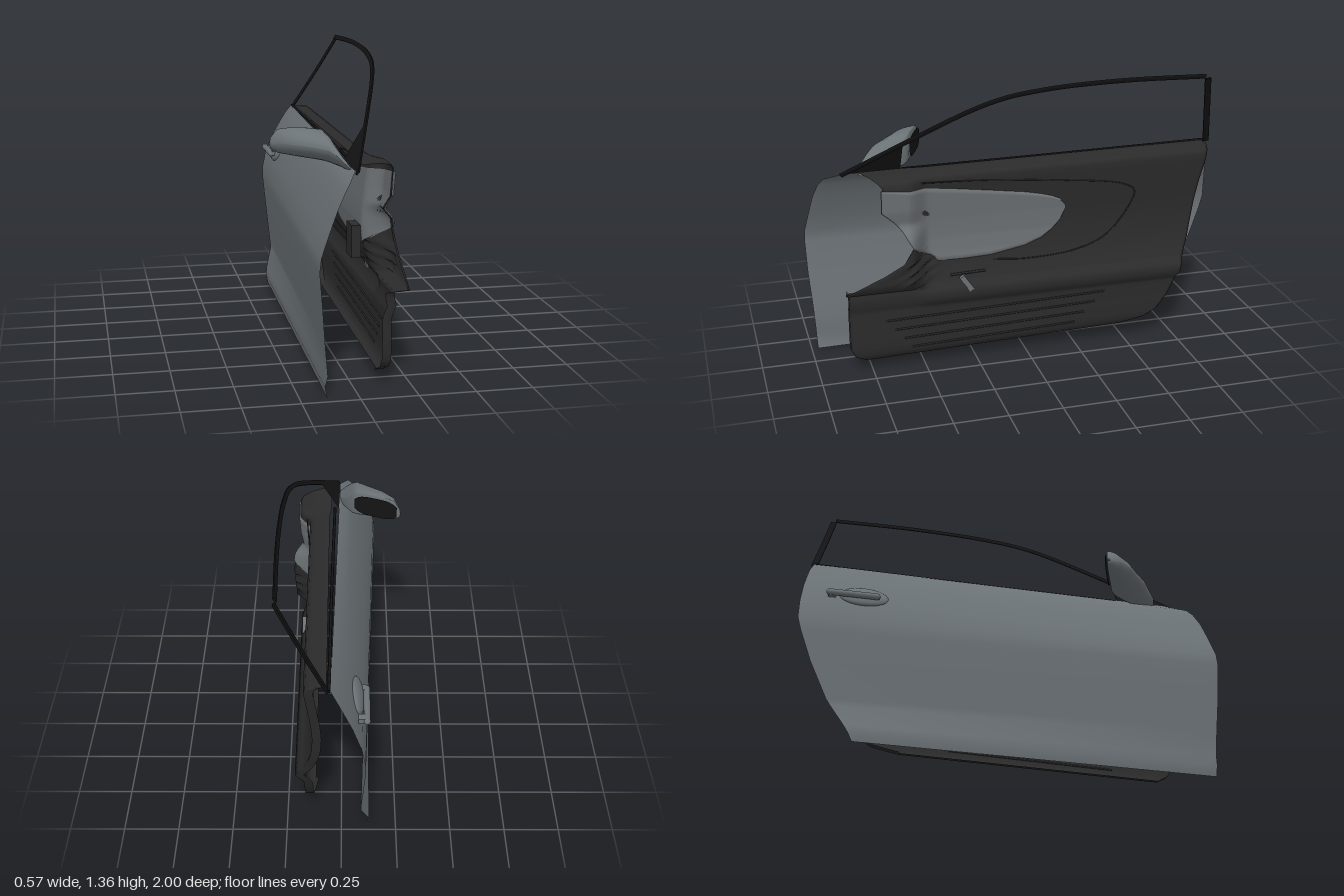
import * as THREE from 'three';

const V = (x, y, z) => new THREE.Vector3(x, y, z);
const lerp = THREE.MathUtils.lerp;
const mat = (color) => new THREE.MeshStandardMaterial({ color, side: THREE.DoubleSide });

// Surface from a grid of points: fn(row, column) -> Vector3
function sheet(fn, rows, cols) {
  const pos = [], idx = [];
  for (let i = 0; i < rows; i++)
    for (let j = 0; j < cols; j++) pos.push(...fn(i, j).toArray());
  for (let i = 0; i < rows - 1; i++)
    for (let j = 0; j < cols - 1; j++) {
      const a = i * cols + j, b = a + cols;
      idx.push(a, a + 1, b, b, a + 1, b + 1);
    }
  const g = new THREE.BufferGeometry();
  g.setAttribute('position', new THREE.Float32BufferAttribute(pos, 3));
  g.setIndex(idx);
  g.computeVertexNormals();
  return g;
}

const tube = (pts, r, segs = 40, sides = 6) =>
  new THREE.TubeGeometry(new THREE.CatmullRomCurve3(pts), segs, r, sides);

// Flat bar lying in the leaning plane of the window
const windowX = (y) => 0.03 + 0.6 * (y - 0.95);
const LEAN = V(-1, 0.6, 0).normalize();
function flatBar(pts, halfWidth, halfThick, segs) {
  const curve = new THREE.CatmullRomCurve3(pts);
  return sheet((i, j) => {
    const side = curve.getTangentAt(i / segs).cross(LEAN).normalize();
    const w = [1, -1, -1, 1, 1][j] * halfWidth, t = [1, 1, -1, -1, 1][j] * halfThick;
    return curve.getPointAt(i / segs).addScaledVector(side, w).addScaledVector(LEAN, t);
  }, segs + 1, 5);
}

// Outer skin rows: y, x at front, x at back, z of front edge, z of back edge
const SKIN = [
  [0.015, -0.135, -0.12, 0.97, -0.73],
  [0.06, -0.147, -0.126, 0.972, -0.75],
  [0.1, -0.136, -0.12, 0.975, -0.77],
  [0.2, -0.145, -0.087, 0.98, -0.83],
  [0.23, -0.148, -0.088, 0.982, -0.85],
  [0.4, -0.162, -0.096, 0.995, -0.93],
  [0.55, -0.175, -0.104, 1.0, -0.985],
  [0.61, -0.168, -0.103, 0.997, -1.0],
  [0.7, -0.134, -0.086, 0.98, -0.995],
  [0.8, -0.092, -0.047, 0.96, -0.98],
  [0.87, -0.056, -0.008, 0.938, -0.963],
  [0.91, -0.032, 0.018, 0.915, -0.95],
  [0.945, 0.01, 0.045, 0.82, -0.93],
];

// Inner trim rows: y, x, x in the front flare, z of front edge, z of back edge
const TRIM = [
  [0.05, 0.12, 0.12, 0.78, -0.48],
  [0.05, 0.145, 0.145, 0.78, -0.48],
  [0.08, 0.16, 0.16, 0.83, -0.6],
  [0.12, 0.165, 0.165, 0.85, -0.66],
  [0.2, 0.165, 0.165, 0.85, -0.715],
  [0.29, 0.168, 0.165, 0.85, -0.75],
  [0.31, 0.175, 0.168, 0.85, -0.755],
  [0.35, 0.207, 0.185, 0.85, -0.765],
  [0.385, 0.19, 0.178, 0.85, -0.78],
  [0.41, 0.17, 0.175, 0.855, -0.787],
  [0.42, 0.165, 0.238, 0.87, -0.79],
  [0.46, 0.15, 0.242, 0.78, -0.805],
  [0.5, 0.138, 0.245, 0.69, -0.82],
  [0.55, 0.13, 0.248, 0.6, -0.83],
  [0.62, 0.125, 0.248, 0.555, -0.843],
  [0.67, 0.127, 0.23, 0.58, -0.85],
  [0.72, 0.131, 0.185, 0.615, -0.858],
  [0.79, 0.14, 0.2, 0.69, -0.87],
  [0.88, 0.152, 0.207, 0.68, -0.89],
  [0.915, 0.158, 0.21, 0.685, -0.895],
  [0.935, 0.15, 0.195, 0.7, -0.9],
  [0.95, 0.125, 0.14, 0.73, -0.905],
  [0.953, 0.06, 0.05, 0.77, -0.905],
];
const flare = (r, z) => lerp(r[1], r[2], THREE.MathUtils.smoothstep(z, 0.46, 0.57));
const trimTilt = (y, z) => (0.02 - 0.03 * z) * Math.max(0, 1 - y / 0.3)
  - 0.009 * z * Math.max(0, (y - 0.85) / 0.1);

// Point on the trim surface
function onTrim(z, y, off = 0.002) {
  const row = y - trimTilt(y, z);
  let i = 1;
  while (i < TRIM.length - 2 && TRIM[i + 1][0] < row) i++;
  const a = TRIM[i], b = TRIM[i + 1];
  const t = THREE.MathUtils.clamp((row - a[0]) / (b[0] - a[0]), 0, 1);
  return V(lerp(flare(a, z), flare(b, z), t) + off, y, z);
}

// Insert columns: z, lower y, upper y
const INSERT = [
  [0.69, 0.79, 0.9], [0.64, 0.745, 0.895], [0.6, 0.7, 0.89], [0.555, 0.62, 0.885],
  [0.49, 0.56, 0.879], [0.42, 0.51, 0.87], [0.3, 0.508, 0.855], [0.17, 0.512, 0.836],
  [0, 0.54, 0.81], [-0.08, 0.57, 0.792], [-0.13, 0.605, 0.777], [-0.17, 0.65, 0.758],
  [-0.195, 0.71, 0.725],
];

// Mirror sections: x, lower y, upper y, rear z, front z
const MIRROR = [
  [-0.287, 0.985, 0.995, 0.425, 0.435], [-0.283, 0.968, 1.015, 0.42, 0.455],
  [-0.255, 0.952, 1.055, 0.43, 0.51], [-0.2, 0.945, 1.065, 0.452, 0.575],
  [-0.13, 0.937, 1.066, 0.482, 0.635], [-0.075, 0.931, 1.062, 0.505, 0.69],
  [-0.05, 0.926, 1.035, 0.53, 0.715], [-0.02, 0.92, 0.98, 0.59, 0.75],
  [0.012, 0.91, 0.93, 0.68, 0.76],
];

export function createModel() {
  const door = new THREE.Group();
  door.name = 'carDoor';
  const paint = mat(0x6c7377), plastic = mat(0x2b2b2b), black = mat(0x141414), fabric = mat(0x6c7174);
  const add = (name, geo, m) => {
    const mesh = new THREE.Mesh(geo, m);
    mesh.name = name;
    door.add(mesh);
    return mesh;
  };

  // Painted outer skin
  add('outerSkin', sheet((i, j) => {
    const [y, xf, xb, zf, zb] = SKIN[i], t = j / 30, z = lerp(zf, zb, t);
    const tilt = -0.018 * z * (Math.max(0, 1 - y / 0.1) + Math.max(0, (y - 0.85) / 0.1));
    return V(lerp(xf, xb, t), y + tilt, z);
  }, SKIN.length, 31), paint);

  // Inner trim panel with returned front and back edges
  add('innerTrim', sheet((i, j) => {
    const r = TRIM[i], t = THREE.MathUtils.clamp((j - 1) / 120, 0, 1);
    const z = lerp(r[3], r[4], t);
    const frontLip = r[0] > 0.41 ? 0.008 : 0.04;
    const lip = j === 0 ? frontLip : j === 122 ? 0.04 : 0;
    return V(flare(r, z) - lip, r[0] + trimTilt(r[0], z), z);
  }, TRIM.length, 123), plastic);

  // Lighter insert: a face on the trim and a backing behind it
  for (const [name, off, rim] of [['trimInsert', 0.008, 0], ['trimInsertBacking', -0.008, -0.008]])
    add(name, sheet((i, j) => {
      const k = Math.min(Math.floor(i / 5), INSERT.length - 2), t = i / 5 - k;
      const [z, lo, hi] = INSERT[k].map((v, n) => lerp(v, INSERT[k + 1][n], t));
      return onTrim(z, lerp(lo, hi, j / 30), j === 0 || j === 30 ? rim : off);
    }, (INSERT.length - 1) * 5 + 1, 31), fabric);

  // Seam sweeping round the insert
  add('trimSeam', tube([[0.5, 0.91], [0.2, 0.89], [-0.2, 0.85], [-0.48, 0.805], [-0.54, 0.765],
    [-0.5, 0.66], [-0.4, 0.55], [-0.25, 0.495], [0, 0.478], [0.16, 0.49]]
    .map(([z, y]) => onTrim(z, y, 0)), 0.003, 80), plastic);

  // Ribs across the lower pocket
  for (let k = 0; k < 4; k++) {
    const z0 = 0.68 - 0.04 * k, z1 = -0.39 + 0.05 * k, y0 = 0.245 - 0.049 * k;
    add('pocketRib', tube([0, 0.33, 0.66, 1].map((t) =>
      onTrim(lerp(z0, z1, t), y0 + 0.027 * t, 0)), 0.005, 20), plastic);
  }

  // Inner release handle and its bracket
  add('innerHandleBracket', tube([onTrim(0.37, 0.44, 0), onTrim(0.2, 0.445, 0)], 0.006, 8), plastic);
  const lever = add('innerHandle', new THREE.BoxGeometry(0.02, 0.085, 0.025), fabric);
  lever.position.set(0.19, 0.405, 0.3);
  lever.rotation.x = 0.6;

  // Latch box behind the trim
  add('trimBackBox', new THREE.BoxGeometry(0.045, 0.15, 0.1), plastic).position.set(0.1, 0.535, 0.4);

  // Window frame: roof rail, rear pillar, belt strip
  const rail = [[0.84, 0.925], [0.7, 1.005], [0.57, 1.08], [0.3, 1.228], [0.2, 1.272], [0.1, 1.303],
    [0, 1.32], [-0.15, 1.336], [-0.45, 1.345], [-0.82, 1.335]];
  add('roofRail', flatBar(rail.map(([z, y]) => V(windowX(y) + 0.01 * Math.max(0, y - 0.95), y, z)),
    0.011, 0.004, 70), black);
  add('rearPillar', flatBar([V(0.27, 1.325, -0.83), V(0.172, 1.15, -0.876), V(0.055, 0.955, -0.93)],
    0.014, 0.005, 10), black);
  add('beltStrip', tube([V(0.05, 0.96, -0.93), V(0.045, 0.95, -0.2), V(0.035, 0.94, 0.56)], 0.007, 20), black);

  // Sail panel in the front corner of the window
  add('sailPanel', sheet((i, j) => {
    const z = lerp(0.83, 0.565, i / 8);
    const y = lerp(0.93, lerp(0.93, 1.083, i / 8), j / 4);
    return V(windowX(y) - 0.005, y, z);
  }, 9, 5), black);

  // Wing mirror: flat towards the rear, tapering to the front
  const mirror = new THREE.Group();
  mirror.name = 'wingMirror';
  door.add(mirror);
  const housing = new THREE.Mesh(sheet((i, j) => {
    const [x, lo, hi, zr, zf] = MIRROR[i], a = (j / 32) * Math.PI * 2;
    const c = Math.cos(a), s = Math.sin(a), zm = lerp(zr, zf, 0.14);
    return V(x, (lo + hi) / 2 + ((hi - lo) / 2) * Math.sign(s) * Math.abs(s) ** (c < 0 ? 0.8 : 1.1),
      c < 0 ? zm - (zm - zr) * (-c) ** 0.3 : zm + (zf - zm) * c);
  }, MIRROR.length, 33), paint);
  housing.name = 'mirrorHousing';
  const glass = new THREE.Mesh(sheet((i, j) => {
    const t = i / 12, u = (i - 6) / 6;
    const h = 0.052 * (1 - u ** 4 * 0.5);
    return V(lerp(-0.268, -0.062, t), 1.0 + h * (j / 2 - 1), lerp(0.416, 0.503, t));
  }, 13, 5), black);
  glass.name = 'mirrorGlass';
  mirror.add(housing, glass);

  // Outer handle: recessed cup and grip bar
  const cup = add('handleCup', new THREE.SphereGeometry(1, 24, 16), paint);
  cup.scale.set(0.024, 0.058, 0.115);
  cup.position.set(-0.07, 0.757, -0.7);
  cup.rotation.z = -0.4;
  const grip = add('handleGrip', new THREE.CapsuleGeometry(0.015, 0.22, 6, 12), paint);
  grip.rotation.x = Math.PI / 2;
  grip.position.set(-0.11, 0.748, -0.755);
  for (const z of [-0.65, -0.85])
    add('handleMount', new THREE.BoxGeometry(0.035, 0.022, 0.035), paint).position.set(-0.09, 0.75, z);

  return door;
}
